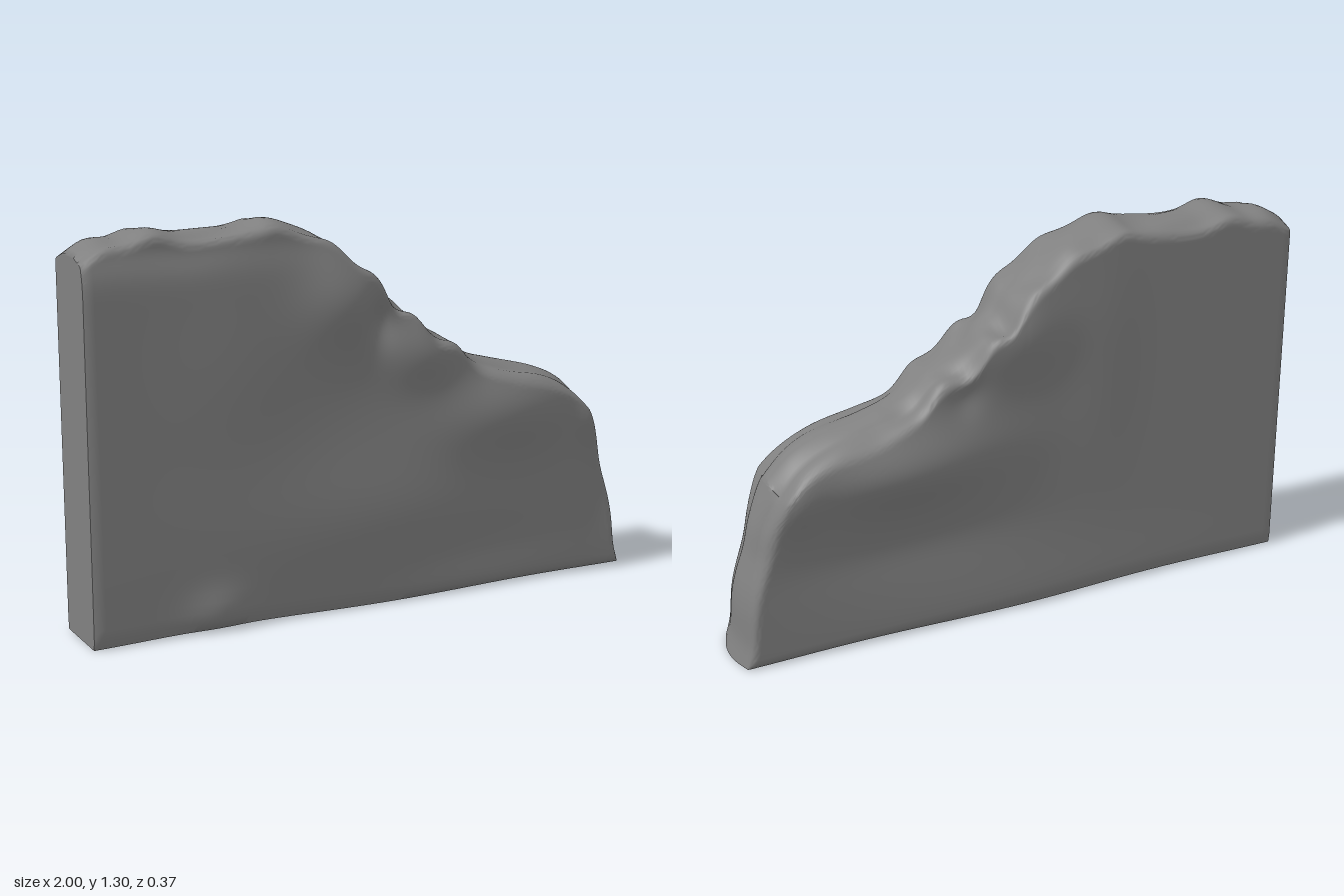
import * as THREE from 'three';
import { mergeVertices, toCreasedNormals } from 'three/addons/utils/BufferGeometryUtils.js';

const spline = (pts) => new THREE.SplineCurve(pts.map(([x, y]) => new THREE.Vector2(x, y)));
const { lerp, clamp, smoothstep } = THREE.MathUtils;

// Broken crest, left to right
const crest = spline([
  [-1, 1.225], [-0.93, 1.262], [-0.85, 1.268], [-0.76, 1.293], [-0.66, 1.275], [-0.5, 1.276],
  [-0.43, 1.285], [-0.36, 1.302], [-0.28, 1.28], [-0.18, 1.24], [-0.08, 1.16], [0, 1.1],
  [0.05, 1.035], [0.11, 1.0], [0.18, 0.925], [0.28, 0.88], [0.36, 0.815], [0.48, 0.775],
  [0.65, 0.735], [0.76, 0.685], [0.845, 0.605],
]);
// Worn right end, bottom to top
const end = spline([
  [1, 0.012], [0.98, 0.08], [0.97, 0.19], [0.955, 0.27], [0.925, 0.37], [0.9, 0.47], [0.845, 0.605],
]);

// Swellings and hollows of each face: x, y, width, height, depth
const frontBumps = [
  [0.48, 0.62, 0.28, 0.15, 0.052], [-0.12, 1.04, 0.15, 0.16, 0.046], [0.17, 0.85, 0.14, 0.12, 0.042],
  [0.0, 0.96, 0.05, 0.08, -0.025], [0.1, 0.32, 0.6, 0.24, 0.032], [-0.58, 0.07, 0.1, 0.07, 0.02],
  [0.4, 0.03, 0.4, 0.1, 0.015], [0.93, 0.3, 0.1, 0.14, -0.012], [-0.8, 1.25, 0.5, 0.07, -0.022],
  [-0.5, 0.8, 0.25, 0.3, 0.012], [0.84, 0.56, 0.07, 0.09, 0.015],
];
const backBumps = [
  [0.42, 0.61, 0.32, 0.13, 0.06], [0.0, 0.99, 0.16, 0.14, 0.032], [0.79, 0.56, 0.08, 0.1, 0.02],
  [0.4, 0.32, 0.45, 0.1, -0.012], [0.1, 0.05, 0.6, 0.12, 0.012], [0.2, 0.82, 0.06, 0.06, -0.012],
  [-0.3, 0.9, 0.12, 0.35, 0.008],
];
const relief = (bumps, x, y) => bumps.reduce((sum, [bx, by, w, h, d]) =>
  sum + d * Math.exp(-(((x - bx) / w) ** 2) - ((y - by) / h) ** 2), 0);

// How far a rounded edge of radius r draws in at distance d from the edge
const inset = (d, r) => (d >= r ? 0 : r - Math.sqrt(r * r - (r - d) ** 2));

function slabGeometry() {
  const box = new THREE.BoxGeometry(1, 1, 1, 130, 60, 16);
  const p = box.attributes.position;
  for (let i = 0; i < p.count; i++) {
    // Finer spacing towards the rounded crest and right end
    const u = 1 - (0.5 - p.getX(i)) ** 1.2;
    const v = 1 - (0.5 - p.getY(i)) ** 1.5;
    const w = p.getZ(i) * 2;
    const t = crest.getPointAt(clamp(u, 0, 1));
    const r = end.getPointAt(clamp(v, 0, 1));

    // Fill the outline between its four edges
    let x = lerp(lerp(-1, 1, u), t.x, v) + u * (r.x - lerp(1, 0.845, v));
    let y = lerp(0.012, t.y, v) + u * (r.y - lerp(0.012, 0.605, v));

    // Thickness with rims that grow rounder towards the low end
    const low = smoothstep(x, -0.1, 0.6);
    const draw = Math.max(
      inset((1 - v) * t.y, 0.035 + 0.035 * low),
      inset((1 - u) * 1.9, 0.03 + 0.035 * smoothstep(y, 0.1, 0.5)),
      inset(v * t.y, 0.012),
      inset(u * 1.9, 0.008),
    );
    const half = w > 0 ? 0.128 + relief(frontBumps, x, y) : 0.127 + relief(backBumps, x, y);
    const z = w * (half - draw);

    // Crest and end bulge along the middle, with slanting ridges on the slope
    const top = v ** 10;
    const slope = Math.exp(-(((x - 0.1) / 0.24) ** 2));
    y -= top * (0.012 + 0.012 * low) * w * w;
    y += top * (1 - u ** 8) * (0.013 * slope * Math.sin(38 * x + 24 * Math.abs(z - 0.03))
      + 0.005 * Math.sin(17 * x + 30 * z)) * (0.3 + 0.7 * Math.abs(w));
    x -= u ** 20 * 0.02 * w * w;

    // Slightly uneven base
    y -= (1 - v) ** 12 * (0.004 + 0.004 * Math.cos(6 * x));
    p.setXYZ(i, x, y, z);
  }
  box.deleteAttribute('normal');
  box.deleteAttribute('uv');
  return toCreasedNormals(mergeVertices(box, 1e-5), 1.1);
}

export function createModel() {
  const model = new THREE.Group();
  model.name = 'ruinedWall';
  const slab = new THREE.Mesh(slabGeometry(), new THREE.MeshStandardMaterial({ color: 0x808080 }));
  slab.name = 'wallSlab';
  model.add(slab);
  return model;
}
